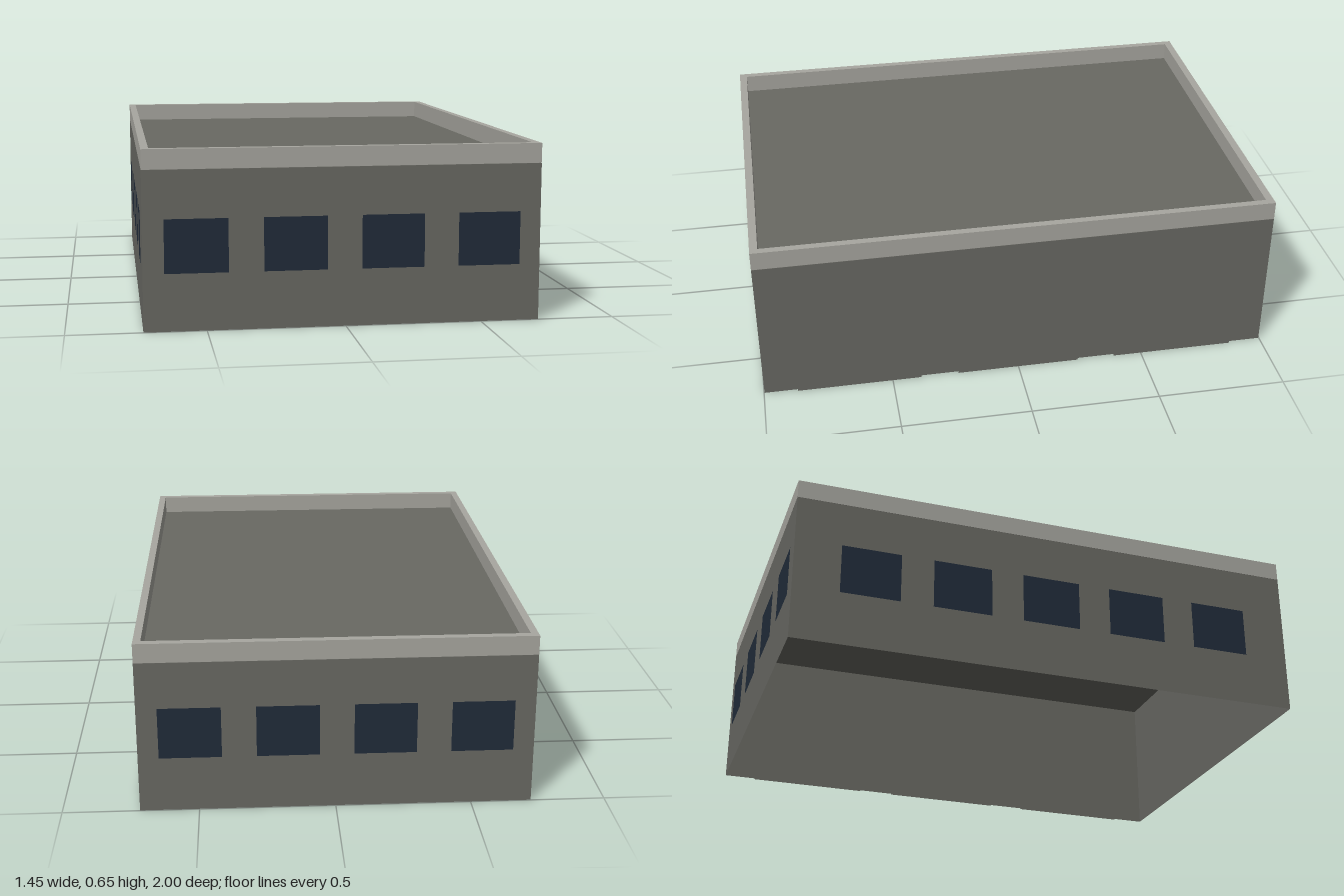
import * as THREE from 'three';

export function createModel() {
  const concrete = new THREE.MeshStandardMaterial({ color: 0x696963, side: THREE.DoubleSide });
  concrete.name = 'concrete';
  const trim = new THREE.MeshStandardMaterial({ color: 0xa8a7a0 });
  trim.name = 'paleTrim';
  const glass = new THREE.MeshStandardMaterial({ color: 0x212c3a });
  glass.name = 'darkGlass';

  const group = new THREE.Group();
  group.name = 'garage';
  const cx = -0.004, halfX = 0.721, halfZ = 0.998, roofY = 0.578, topY = 0.651;

  const add = (name, geometry, material, x, y, z, turn = 0) => {
    const mesh = new THREE.Mesh(geometry, material);
    mesh.name = name;
    mesh.position.set(x, y, z);
    mesh.rotation.y = turn;
    group.add(mesh);
  };

  // Walls and roof deck: a box shell with its floor face left out
  const shell = new THREE.BoxGeometry(2 * halfX, roofY, 2 * halfZ);
  shell.setIndex(Array.from(shell.index.array).filter((_, i) => i < 18 || i >= 24));
  shell.clearGroups();
  add('wallsAndRoof', shell, concrete, cx, roofY / 2, 0);

  // Parapet: rectangular ring around the roof, flush with the walls
  const rect = (Path, x, z) => new Path().moveTo(-x, -z).lineTo(x, -z).lineTo(x, z).lineTo(-x, z).closePath();
  const rectangle = (Path, x, z) => {
    const path = new Path();
    path.moveTo(-x, -z);
    path.lineTo(x, -z);
    path.lineTo(x, z);
    path.lineTo(-x, z);
    path.closePath();
    return path;
  };
  const ring = rectangle(THREE.Shape, halfX, halfZ);
  ring.holes.push(rectangle(THREE.Path, halfX - 0.028, halfZ - 0.03));
  const parapet = new THREE.ExtrudeGeometry(ring, { depth: topY - roofY - 0.001, bevelEnabled: false });
  parapet.rotateX(-Math.PI / 2);
  add('parapet', parapet, trim, cx, roofY + 0.001, 0);

  // Windows: four at the front, four at the back, five along the -x side
  const pane = new THREE.PlaneGeometry(0.228, 0.195);
  const paneY = 0.306, spacing = 0.354;
  for (let i = 0; i < 4; i++) {
    const x = cx + (i - 1.5) * spacing;
    add('frontWindow', pane, glass, x, paneY, 1);
    add('backWindow', pane, glass, x, paneY, -1, Math.PI);
  }
  for (let i = 0; i < 5; i++) {
    add('sideWindow', pane, glass, cx - halfX - 0.002, paneY, (i - 2) * spacing, -Math.PI / 2);
  }

  // Three large doors standing just proud of the +x wall
  const door = new THREE.PlaneGeometry(0.482, 0.47);
  for (const z of [-0.629, 0, 0.629]) {
    add('garageDoor', door, concrete, 0.727, 0.235, z, Math.PI / 2);
  }

  return group;
}
